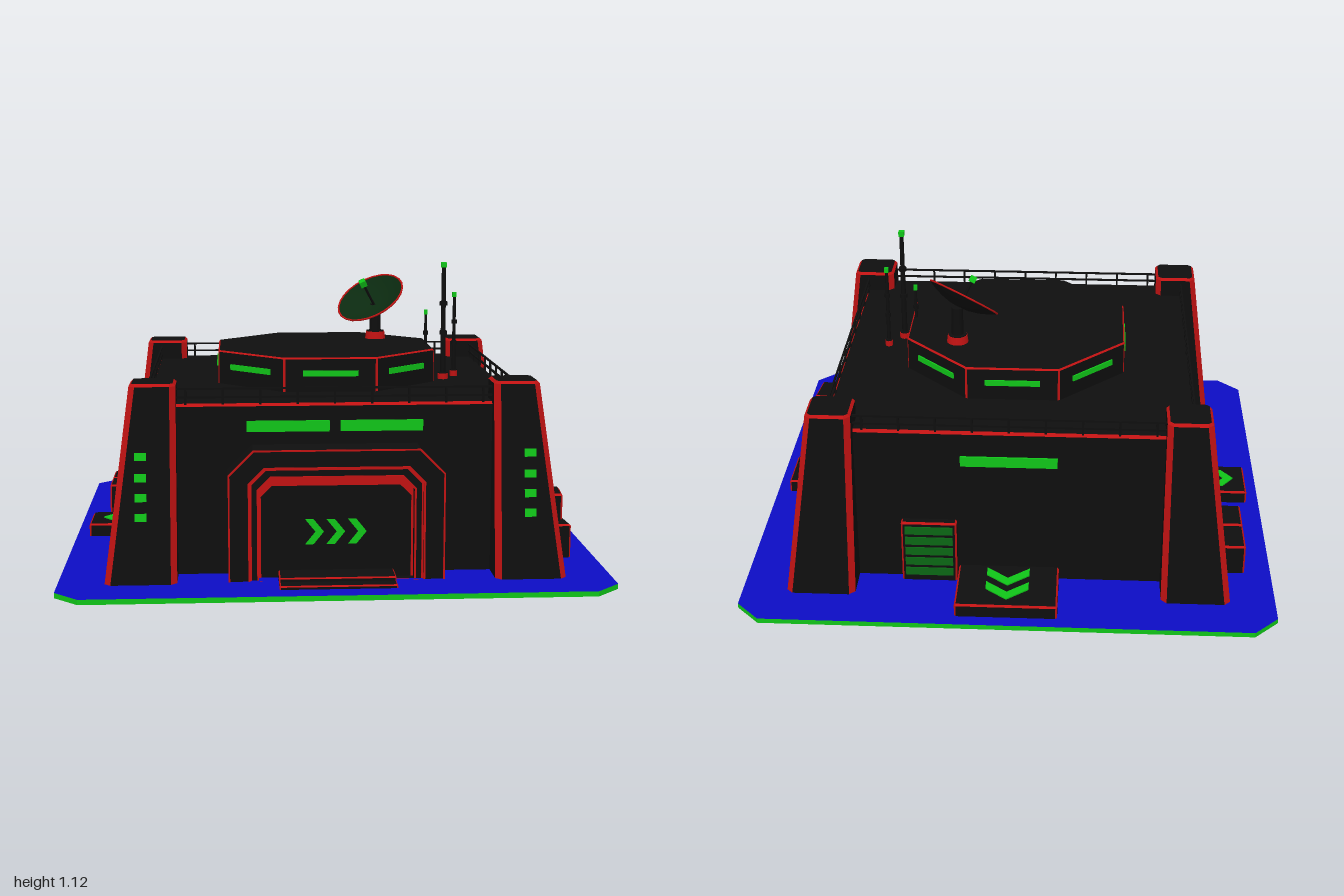
import * as THREE from 'three';

const mat = (name, color, side = THREE.FrontSide) => {
  const m = new THREE.MeshStandardMaterial({ color, side });
  m.name = name;
  return m;
};

const rect = (x0, x1, z0, z1) => [[x1, z1], [x0, z1], [x0, z0], [x1, z0]];

// Convex prism (x,z corners) with cut corners (group 1), bevelled top rim (group 1) and flat faces (group 0)
function bevelPrism(bottom, top, y0, y1, cut, rim = cut) {
  const corners = (poly, y, c, inset) => poly.flatMap((p, i) => {
    const n = poly.length;
    const P = new THREE.Vector2(...p);
    const u = new THREE.Vector2(...poly[(i + n - 1) % n]).sub(P).normalize();
    const v = new THREE.Vector2(...poly[(i + 1) % n]).sub(P).normalize();
    const s = inset / Math.abs(u.cross(v));
    const at = (d) => new THREE.Vector3(P.x + d.x * c + (u.x + v.x) * s, y, P.y + d.y * c + (u.y + v.y) * s);
    return [at(u), at(v)];
  });
  const loops = [corners(bottom, y0, cut, 0), corners(top, y1 - rim, cut, 0), corners(top, y1, Math.max(cut - rim, 0), rim)];
  const faces = [[], []];
  const n = loops[0].length;
  for (let l = 0; l < 2; l++) {
    for (let i = 0; i < n; i++) {
      const j = (i + 1) % n, a = loops[l], b = loops[l + 1];
      faces[l === 1 || i % 2 === 0 ? 1 : 0].push(a[i], b[i], a[j], a[j], b[i], b[j]);
    }
  }
  for (let i = 1; i < n - 1; i++) {
    faces[0].push(loops[2][0], loops[2][i + 1], loops[2][i], loops[0][0], loops[0][i], loops[0][i + 1]);
  }
  const g = new THREE.BufferGeometry().setFromPoints([...faces[0], ...faces[1]]);
  g.addGroup(0, faces[0].length, 0);
  g.addGroup(faces[0].length, faces[1].length, 1);
  g.computeVertexNormals();
  return g;
}

// Doorway outline with cut upper corners
const archPoints = (hw, h, c) => [[-hw, 0.02], [hw, 0.02], [hw, h - c], [hw - c, h], [c - hw, h], [-hw, h - c]]
  .map((p) => new THREE.Vector2(...p));

function archRing(outer, inner, z0, z1) {
  const s = new THREE.Shape(archPoints(...outer));
  if (inner) {
    const hole = archPoints(...inner);
    hole[0].y = hole[1].y = 0.021;
    s.holes.push(new THREE.Path(hole));
  }
  return new THREE.ExtrudeGeometry(s, { depth: z1 - z0, bevelEnabled: false }).translate(0, 0, z0);
}

// Arrow mark with its tip at the origin, pointing along +x
function chevron(len, h, t) {
  const pts = [[0, 0], [t - len, h], [-len, h], [-t, 0], [-len, -h], [t - len, -h]].map((p) => new THREE.Vector2(...p));
  return new THREE.ExtrudeGeometry(new THREE.Shape(pts), { depth: 0.005, bevelEnabled: false });
}

export function createModel() {
  const black = mat('black panel', 0x0e0e0e);
  const red = mat('red edge', 0xc01212);
  const green = mat('green light', 0x10c418);
  const slatGreen = mat('dim green slat', 0x0a6614);
  const dishGreen = mat('dark green dish', 0x0b2a10, THREE.DoubleSide);
  const blue = mat('blue ground', 0x0c0cc4);
  const edged = [black, red];

  const model = new THREE.Group();
  model.name = 'outpost';
  const add = (name, geo, m, x = 0, y = 0, z = 0, parent = model) => {
    const mesh = new THREE.Mesh(geo, m);
    mesh.name = name;
    mesh.position.set(x, y, z);
    parent.add(mesh);
    return mesh;
  };
  const box = (name, w, h, d, m, x, y, z, parent) => add(name, new THREE.BoxGeometry(w, h, d), m, x, y, z, parent);
  const edgeBox = (name, x0, x1, y0, y1, z0, z1, parent, c = 0.007) =>
    add(name, bevelPrism(rect(x0, x1, z0, z1), rect(x0, x1, z0, z1), y0, y1, c), edged, 0, 0, 0, parent);

  // Ground slab with cut corners
  const k = 0.91;
  const slab = new THREE.Shape([[1, -k], [1, k], [k, 1], [-k, 1], [-1, k], [-1, -k], [-k, -1], [k, -1]]
    .map((p) => new THREE.Vector2(...p)));
  add('groundSlab', new THREE.ExtrudeGeometry(slab, { depth: 0.019, bevelEnabled: false }).rotateX(-Math.PI / 2), [blue, green], 0, 0.002, 0);
  add('slabUnderside', new THREE.ShapeGeometry(slab).rotateX(Math.PI / 2), black);

  // Main block
  edgeBox('mainBlock', -0.69, 0.69, 0.02, 0.65, -0.69, 0.69, model, 0.01);

  // Leaning corner towers
  for (const sx of [-1, 1]) for (const sz of [-1, 1]) {
    const foot = (o) => {
      const x = [0.573 * sx, o * sx].sort((a, b) => a - b), z = [0.573 * sz, o * sz].sort((a, b) => a - b);
      return rect(...x, ...z);
    };
    add('cornerTower', bevelPrism(foot(0.832), foot(0.74), 0.02, 0.73, 0.022, 0.01), edged);
    if (sz > 0) for (const y of [0.26, 0.33, 0.4, 0.475]) {
      const light = box('towerLight', 0.042, 0.029, 0.008, green, sx * 0.7, y, 0.833 - (y - 0.02) * 0.13);
      light.rotation.x = -0.13;
    }
  }

  // Wall details, built facing +z and turned to each side
  const wall = (name, turn) => {
    const g = new THREE.Group();
    g.name = name;
    g.rotation.y = turn;
    model.add(g);
    // Roof railing
    for (const y of [0.673, 0.704]) box('rail', 1.16, 0.007, 0.007, black, 0, y, 0.68, g);
    for (let i = -4; i <= 4; i++) box('railPost', 0.008, 0.06, 0.008, black, i * 0.135, 0.676, 0.68, g);
    return g;
  };
  const lamp = (parent, x, y, w) => box('wallLight', w, 0.04, 0.008, green, x, y, 0.694, parent);
  const shutter = (parent, x) => {
    edgeBox('shutterFrame', x - 0.105, x + 0.105, 0.02, 0.275, 0.68, 0.722, parent);
    for (let i = 0; i < 5; i++) box('shutterSlat', 0.18, 0.032, 0.006, slatGreen, x, 0.062 + i * 0.045, 0.724, parent);
  };
  const pad = (parent, hw, len, h, t, tips) => {
    edgeBox('landingStep', -hw, hw, 0.02, 0.072, 0.68, 0.95, parent);
    for (const z of tips) add('stepArrow', chevron(len, h, t).rotateX(-Math.PI / 2).rotateY(-Math.PI / 2), green, 0, 0.072, z, parent);
  };

  const front = wall('frontWall', 0);
  for (const s of [-1, 1]) lamp(front, s * 0.17, 0.567, 0.3);

  for (const s of [-1, 1]) {
    const side = wall(s > 0 ? 'leftWall' : 'rightWall', s * Math.PI / 2);
    for (const x of [-0.155, 0.155]) lamp(side, x, 0.53, 0.275);
    for (const x of [-0.255, 0.255]) shutter(side, x);
    pad(side, 0.105, 0.085, 0.06, 0.04, [0.9, 0.81]);
  }

  const back = wall('backWall', Math.PI);
  lamp(back, 0, 0.53, 0.36);
  shutter(back, -0.3);
  pad(back, 0.19, 0.11, 0.08, 0.045, [0.91, 0.82]);

  // Front entrance: stepped frames with red trim around a recessed door
  const rings = [[[0.39, 0.5, 0.09], [0.312, 0.43, 0.055], 0.806], [[0.312, 0.43, 0.055], [0.28, 0.395, 0.045], 0.792]];
  for (const [outer, inner, z] of rings) {
    add('entranceFrame', archRing(outer, inner, 0.68, z), black);
    const trim = ([w, h, c], d) => [w + d, h + d, c + d * 0.4];
    add('entranceTrim', archRing(outer, trim(outer, -0.006), z, z + 0.004), red);
    add('entranceTrim', archRing(trim(inner, 0.007), inner, z, z + 0.004), red);
  }
  add('entranceDoor', archRing([0.281, 0.396, 0.045], null, 0.68, 0.755), black);
  add('doorTrim', archRing([0.28, 0.395, 0.045], [0.272, 0.36, 0.04], 0.755, 0.757), red);
  for (const x of [-0.045, 0.032, 0.11]) add('doorArrow', chevron(0.067, 0.046, 0.03), green, x, 0.19, 0.756);
  edgeBox('lowerStep', -0.21, 0.21, 0.02, 0.034, 0.75, 0.92, model, 0.005);
  edgeBox('upperStep', -0.21, 0.21, 0.03, 0.048, 0.75, 0.865, model, 0.005);

  // Eight-sided roof drum with a light on every face
  const oct = Array.from({ length: 8 }, (_, i) => {
    const a = (i + 0.5) * Math.PI / 4, r = 0.425 / Math.cos(Math.PI / 8);
    return [r * Math.cos(a), r * Math.sin(a)];
  });
  add('roofDrum', bevelPrism(oct, oct, 0.645, 0.78, 0.005, 0.006), edged);
  for (let i = 0; i < 8; i++) {
    const a = i * Math.PI / 4;
    const light = box('drumLight', 0.21, 0.022, 0.008, green, 0.427 * Math.sin(a), 0.72, 0.427 * Math.cos(a));
    light.rotation.y = a;
  }

  // Dish on a short mast
  add('dishFoot', new THREE.CylinderGeometry(0.038, 0.042, 0.03, 16), red, 0.225, 0.795, -0.195);
  add('dishFootCap', new THREE.CylinderGeometry(0.036, 0.036, 0.006, 16), black, 0.225, 0.811, -0.195);
  add('dishMast', new THREE.CylinderGeometry(0.022, 0.024, 0.13, 12), black, 0.225, 0.86, -0.195);
  const dish = new THREE.Group();
  dish.name = 'dish';
  dish.position.set(0.2, 0.955, -0.162);
  dish.quaternion.setFromUnitVectors(new THREE.Vector3(0, 1, 0), new THREE.Vector3(-0.428, 0.796, 0.428).normalize());
  model.add(dish);
  const bowl = (d) => new THREE.LatheGeometry([0.001, 0.04, 0.08, 0.115, 0.143].map((r) => new THREE.Vector2(r, 2 * r * r - 0.041 - d)), 24);
  add('dishBowl', bowl(0), dishGreen, 0, 0, 0, dish);
  add('dishBack', bowl(0.005), black, 0, 0, 0, dish);
  add('dishRim', new THREE.TorusGeometry(0.143, 0.004, 6, 24).rotateX(Math.PI / 2), red, 0, -0.002, 0, dish);
  add('dishFeed', new THREE.CylinderGeometry(0.005, 0.005, 0.11, 8), black, 0, 0.015, 0, dish);
  box('dishFeedTip', 0.026, 0.026, 0.026, green, 0, 0.075, 0, dish);

  // Roof aerials
  for (const [x, z, top, r] of [[0.47, 0.105, 1.115, 0.011], [0.525, 0.025, 0.99, 0.008], [0.41, 0.02, 0.92, 0.007]]) {
    add('aerial', new THREE.CylinderGeometry(r * 0.75, r, top - 0.66, 8), black, x, (top + 0.64) / 2, z);
    add('aerialFoot', new THREE.CylinderGeometry(r * 1.9, r * 1.9, 0.025, 8), red, x, 0.66, z);
    add('aerialFootCap', new THREE.CylinderGeometry(r * 1.7, r * 1.7, 0.006, 8), black, x, 0.674, z);
    for (const f of [0.4, 0.65]) add('aerialCollar', new THREE.CylinderGeometry(r * 1.4, r * 1.4, 0.016, 8), black, x, 0.65 + f * (top - 0.65), z);
    box('aerialTip', r * 2, 0.02, r * 2, green, x, top - 0.01, z);
  }

  // Supply crates
  const crate = (x, y, z, w, h, d, turn = 0) => {
    const c = edgeBox('crate', -w / 2, w / 2, 0, h, -d / 2, d / 2);
    c.position.set(x, y, z);
    c.rotation.y = turn;
  };
  crate(0.835, 0.02, 0.465, 0.14, 0.13, 0.155, 0.06);
  crate(0.835, 0.02, 0.293, 0.15, 0.13, 0.165);
  crate(0.833, 0.15, 0.385, 0.13, 0.1, 0.14, -0.1);
  crate(-0.83, 0.02, -0.545, 0.14, 0.12, 0.15);
  crate(-0.83, 0.02, -0.39, 0.14, 0.12, 0.145);
  return model;
}
